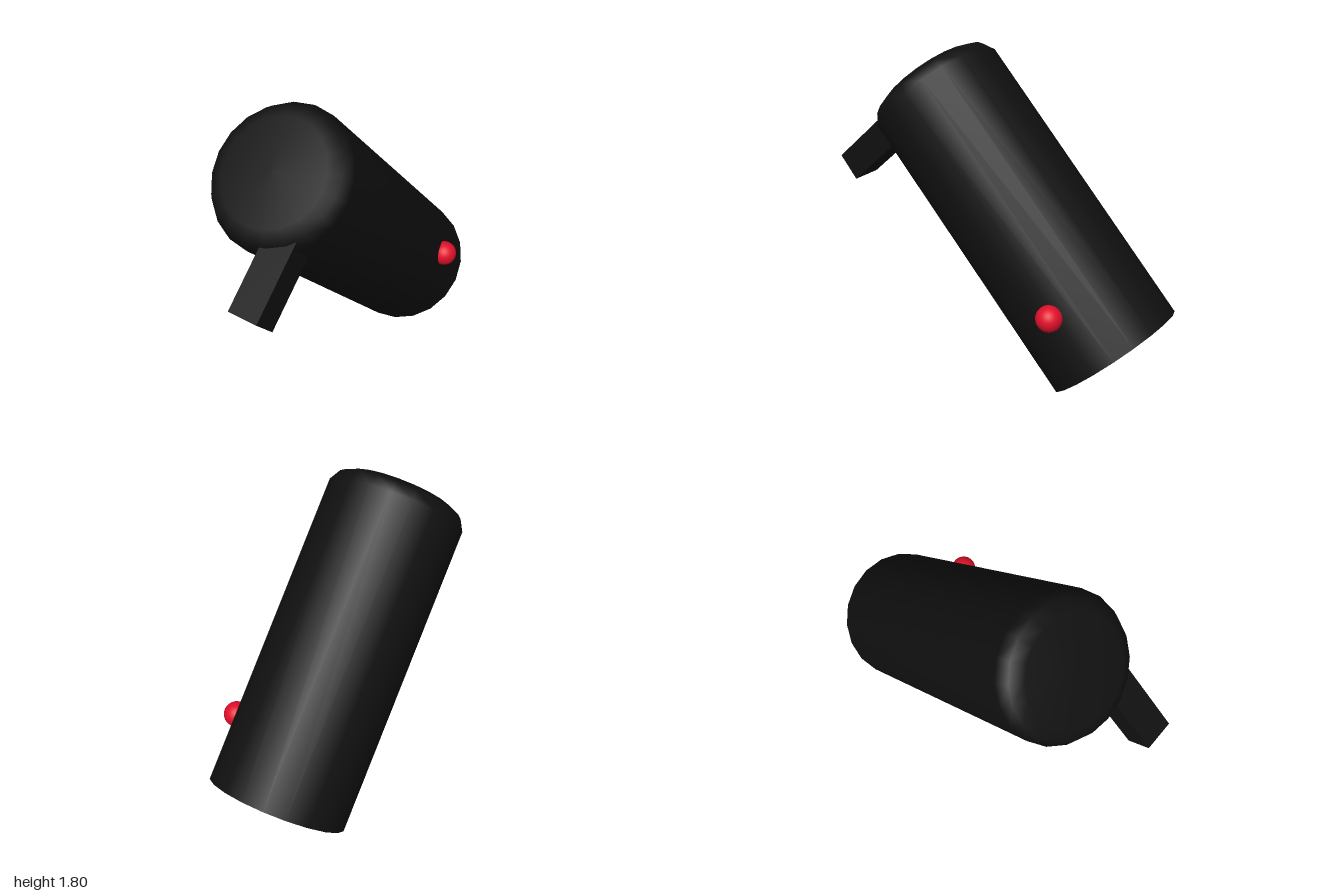
import * as THREE from 'three';

const SIDES = 20;

function createMesh(name, geometry, color) {
  const mesh = new THREE.Mesh(geometry, new THREE.MeshStandardMaterial({ color }));
  mesh.name = name;
  return mesh;
}

// Smooth turned shape from [radius, height] pairs
function turned(profile) {
  return new THREE.LatheGeometry(profile.map(([r, y]) => new THREE.Vector2(r, y)), SIDES);
}

export function createModel() {
  const model = new THREE.Group();
  model.name = 'tiltedTube';

  // Tube leaning forward, open at its lower back end
  const tube = new THREE.Group();
  tube.name = 'tube';
  tube.position.set(-0.035, 0.271, -0.718);
  tube.rotation.x = 0.761;
  model.add(tube);

  // Open rim, straight wall, rounded shoulder and flat closed end
  tube.add(createMesh('tubeShell', turned([
    [0.285, 0], [0.387, 0], [0.387, 1.72], [0.352, 1.783], [0.283, 1.815], [0, 1.815],
  ]), 0x101010));

  // Coloured recess inside the open end
  tube.add(createMesh('recess', turned([[0, 0.4], [0.285, 0.4], [0.285, 0]]), 0x0b7a72));

  // Square peg pointing forward and down from the closed end
  const peg = createMesh('peg', new THREE.BoxGeometry(0.17, 0.163, 0.42), 0x101010);
  peg.position.set(0.131, 1.171, 0.789);
  peg.rotation.x = 0.727;
  model.add(peg);

  // Red button on the left side
  const button = createMesh('button', new THREE.SphereGeometry(0.07, 24, 16), 0xe0102a);
  button.position.set(0.348, 0.594, -0.54);
  model.add(button);

  return model;
}
